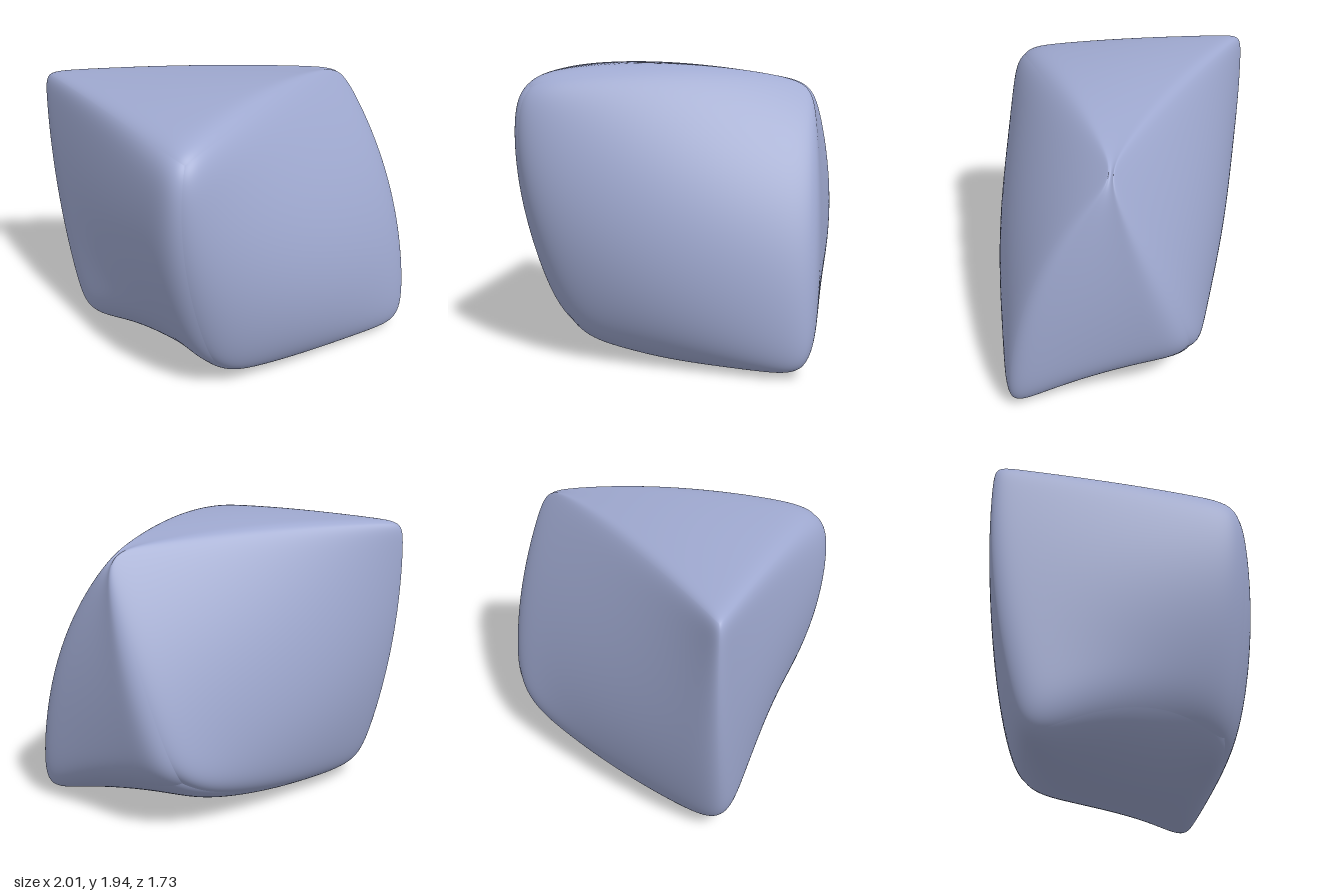
import * as THREE from 'three';
import { mergeVertices } from 'three/addons/utils/BufferGeometryUtils.js';

// Guide points of a warped cube: [lattice key (u v w as -,0,+), x, y, z]
const guides = {
  // corners; the two upper right ones nearly meet in one tip
  '-+-': [-0.943, 1.875, -0.86], '-++': [-0.84, 1.785, 0.68],
  '++-': [0.815, 1.77, -0.02], '+++': [0.815, 1.77, 0.065],
  '+-+': [0.92, 0.09, 0.68], '+--': [0.74, 0.39, -0.48],
  '---': [-0.885, 0.13, -0.59], '--+': [-0.6, 0.25, 0.62],
  // edge middles
  '-+0': [-0.92, 1.865, -0.05], '0+-': [-0.06, 1.875, -0.41],
  '0++': [0, 1.875, 0.39], '++0': [0.83, 1.775, 0.023],
  '-0+': [-0.87, 1.05, 0.725], '+0+': [0.945, 1.0, 0.52],
  '+0-': [0.905, 1.05, -0.31], '-0-': [-0.965, 1.0, -0.84],
  '--0': [-0.8, 0.35, 0.12], '0-+': [0.12, 0.11, 0.69],
  '+-0': [0.85, 0.26, 0.07], '0--': [-0.04, 0.135, -0.57],
  // face middles
  '0+0': [-0.1, 1.938, -0.02], '0-0': [-0.08, 0.005, 0.12],
  '00+': [0.03, 0.98, 0.805], '00-': [-0.03, 0.93, -0.715],
  '+00': [0.98, 0.95, 0.1], '-00': [-0.99, 1.05, -0.04],
};

// Edge sharpness at each corner
const sharpness = {
  '-+-': 24, '-++': 9, '++-': 14, '+++': 14,
  '+-+': 11, '+--': 6, '---': 10, '--+': 6.5,
};

const value = { '-': -1, '0': 0, '+': 1 };
const nodes = Object.entries(guides).map(([key, p]) => ({
  q: [...key].map((c) => value[c]), target: p, p: [...p],
}));
const core = { q: [0, 0, 0], p: [0, 1, 0] };

// Pulls a point of the cube's skin inwards to round edges and corners
function roundOff(q) {
  let power = 0;
  for (const [key, s] of Object.entries(sharpness)) {
    let w = s;
    for (let i = 0; i < 3; i++) w *= (1 + value[key[i]] * q[i]) / 2;
    power += w;
  }
  const sum = q.reduce((t, c) => t + Math.abs(c) ** power, 0);
  return q.map((c) => c * sum ** (-1 / power));
}

// Quadratic lattice warp
const weight = (n, t) => (n === 0 ? 1 - t * t : (t * (t + n)) / 2);
function warp(q) {
  const out = [0, 0, 0];
  for (const n of [...nodes, core]) {
    const w = weight(n.q[0], q[0]) * weight(n.q[1], q[1]) * weight(n.q[2], q[2]);
    for (let i = 0; i < 3; i++) out[i] += w * n.p[i];
  }
  return out;
}

// Adjust the lattice until the rounded skin passes near the guide points
function fitLattice() {
  for (let k = 0; k < 4; k++) {
    const errors = nodes.map((n) => {
      const s = warp(roundOff(n.q));
      return n.target.map((t, i) => t - s[i]);
    });
    nodes.forEach((n, j) => {
      n.p = n.p.map((c, i) => c + errors[j][i]);
    });
  }
}

export function createModel() {
  const group = new THREE.Group();
  group.name = 'pebble';
  nodes.forEach((n) => { n.p = [...n.target]; });
  fitLattice();

  // Cube skin with rows packed closer towards its edges
  let geometry = new THREE.BoxGeometry(2, 2, 2, 60, 60, 60);
  geometry.deleteAttribute('uv');
  geometry.deleteAttribute('normal');
  geometry.clearGroups();
  const pos = geometry.attributes.position;
  for (let i = 0; i < pos.count; i++) {
    const q = [pos.getX(i), pos.getY(i), pos.getZ(i)]
      .map((c) => Math.sin((c * Math.PI) / 2));
    pos.setXYZ(i, ...warp(roundOff(q)));
  }
  geometry = mergeVertices(geometry, 1e-5);

  // Centre it and stand it on the ground
  geometry.computeBoundingBox();
  const mid = geometry.boundingBox.getCenter(new THREE.Vector3());
  geometry.translate(-mid.x, -geometry.boundingBox.min.y, -mid.z);
  geometry.computeVertexNormals();

  const material = new THREE.MeshStandardMaterial({ color: 0x9fa9d0 });
  material.name = 'periwinkle blue';
  const body = new THREE.Mesh(geometry, material);
  body.name = 'body';
  group.add(body);
  return group;
}
